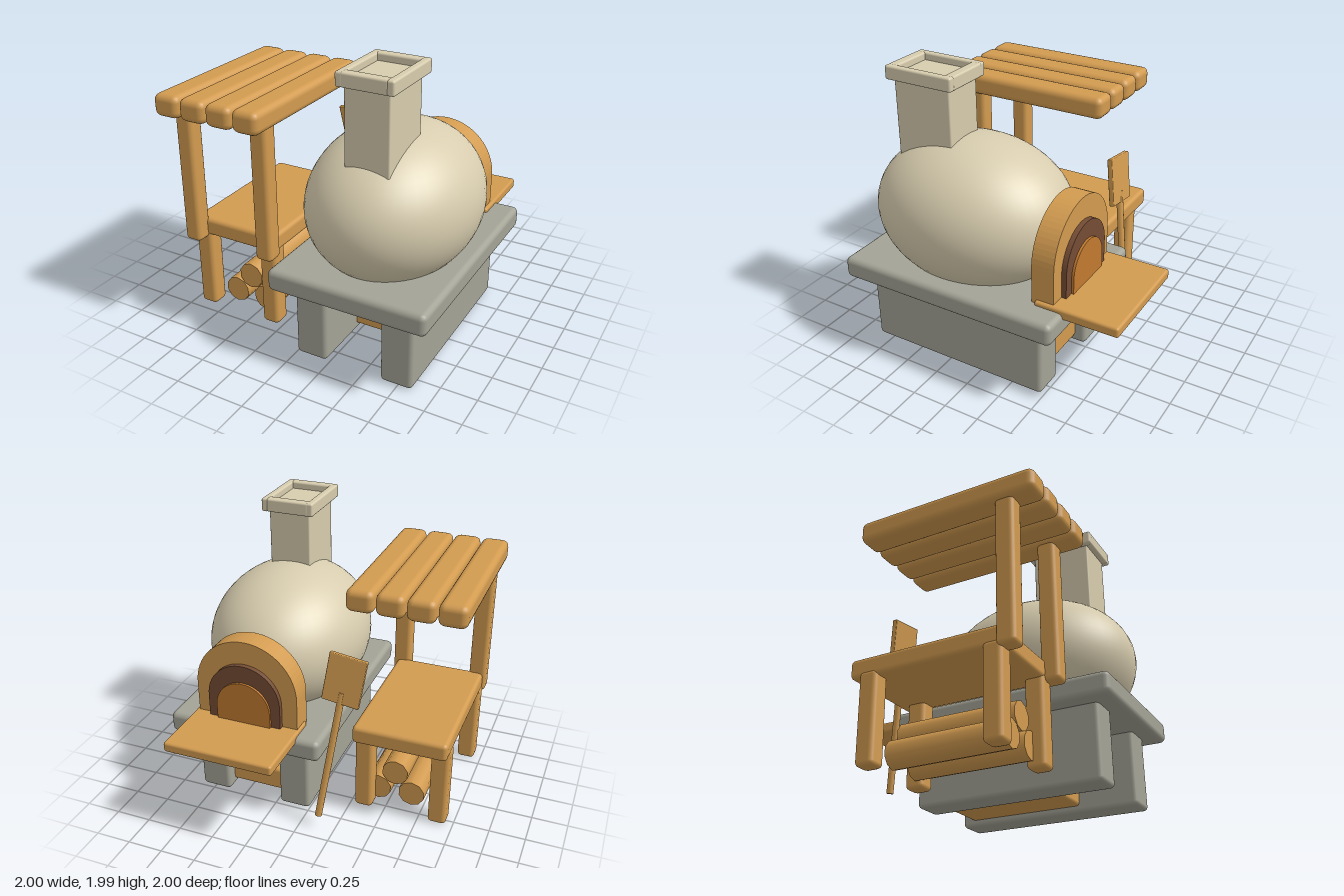
import * as THREE from 'three';
import { RoundedBoxGeometry } from 'three/addons/geometries/RoundedBoxGeometry.js';

const mat = (name, color) => {
  const m = new THREE.MeshStandardMaterial({ color });
  m.name = name;
  return m;
};

export function createModel() {
  const wood = mat('wood', 0xd29b50);
  const stone = mat('stone', 0xa3a396);
  const clay = mat('clay', 0xd7ccae);
  const soot = mat('dark brown', 0x744c34);
  const ember = mat('warm orange', 0xc27a30);
  const model = new THREE.Group();

  const add = (name, geometry, material, parent = model) => {
    const mesh = new THREE.Mesh(geometry, material);
    mesh.name = name;
    parent.add(mesh);
    return mesh;
  };

  // Rounded block given by its limits on each axis
  const block = (name, material, [x0, x1], [y0, y1], [z0, z1], r = 0.03, parent = model) => {
    const mesh = add(name, new RoundedBoxGeometry(x1 - x0, y1 - y0, z1 - z0, 2, r), material, parent);
    mesh.position.set((x0 + x1) / 2, (y0 + y1) / 2, (z0 + z1) / 2);
    return mesh;
  };

  // Stone base
  block('baseSlab', stone, [-0.13, 0.985], [0.525, 0.68], [-0.62, 1], 0.04);
  block('baseRightLeg', stone, [0, 0.228], [0.01, 0.56], [-0.48, 0.87], 0.03);
  block('baseLeftLeg', stone, [0.625, 0.85], [0.01, 0.56], [-0.48, 0.87], 0.03);
  block('storageCrate', wood, [0.2, 0.65], [0.055, 0.23], [-0.4, 0.45], 0.025);

  // Oven dome
  const dome = add('ovenDome', new THREE.SphereGeometry(1, 48, 32), clay);
  dome.scale.set(0.567, 0.522, 0.715);
  dome.position.set(0.43, 1.02, 0.27);

  // Chimney with a four-piece rim around a shallow recess
  block('chimney', clay, [0.305, 0.61], [1.2, 1.95], [0.318, 0.745], 0.01);
  for (const x of [0.265, 0.6]) block('chimneyRimSide', clay, [x, x + 0.052], [1.905, 2], [0.275, 0.785], 0.014);
  for (const z of [0.275, 0.715]) block('chimneyRimEnd', clay, [0.3, 0.615], [1.905, 2], [z, z + 0.07], 0.014);
  block('chimneyRimFill', clay, [0.3, 0.615], [1.91, 1.95], [0.31, 0.75], 0.005);

  // Arched oven mouth: three stacked arches stepping out towards the back
  const arch = (name, material, x, r, bottom, top, zFront, zBack) => {
    const spring = top - r;
    const s = new THREE.Shape();
    s.moveTo(x - r, bottom);
    s.lineTo(x + r, bottom);
    s.lineTo(x + r, spring);
    s.absarc(x, spring, r, 0, Math.PI, false);
    s.closePath();
    const g = new THREE.ExtrudeGeometry(s, { depth: zFront - zBack, bevelEnabled: false, curveSegments: 16 });
    add(name, g, material).position.z = zBack;
  };
  arch('mouthArch', wood, 0.42, 0.37, 0.67, 1.297, -0.38, -0.54);
  arch('mouthLining', soot, 0.425, 0.265, 0.68, 1.135, -0.5, -0.575);
  arch('mouthOpening', ember, 0.425, 0.197, 0.69, 1.01, -0.5, -0.592);
  block('mouthShelf', wood, [0.035, 0.815], [0.635, 0.708], [-1, -0.41], 0.018);

  // Table with a plank roof on two front posts
  block('tableTop', wood, [-0.945, -0.28], [0.585, 0.715], [-0.385, 0.68], 0.03);
  for (const x of [-0.95, -0.41])
    for (const z of [-0.31, 0.55]) block('tableLeg', wood, [x, x + 0.13], [0.01, 0.62], [z, z + 0.13], 0.03);
  for (const x of [-0.967, -0.375]) block('roofPost', wood, [x, x + 0.127], [0.568, 1.6], [0.648, 0.775], 0.03);
  for (let i = 0; i < 4; i++) {
    const x = -1 + i * 0.2025;
    block('roofPlank', wood, [x, x + 0.192], [1.537, 1.692], [-0.335, 0.93], 0.045);
  }

  // Firewood stack
  for (const [x, y] of [[-0.675, 0.145], [-0.55, 0.293], [-0.43, 0.145]]) {
    const g = new THREE.CylinderGeometry(0.095, 0.095, 0.82, 10);
    g.rotateX(Math.PI / 2);
    add('log', g, wood).position.set(x, y, 0.19);
  }

  // Leaning bread peel
  const peel = new THREE.Group();
  peel.name = 'breadPeel';
  peel.position.set(-0.13, 0.1, -0.62);
  peel.rotation.set(0.15, 0, 0.125);
  model.add(peel);
  add('peelHandle', new THREE.CylinderGeometry(0.024, 0.024, 0.95, 10), wood, peel).position.y = 0.475;
  block('peelBlade', wood, [-0.13, 0.13], [0.87, 1.205], [-0.018, 0.018], 0.006, peel);

  return model;
}
